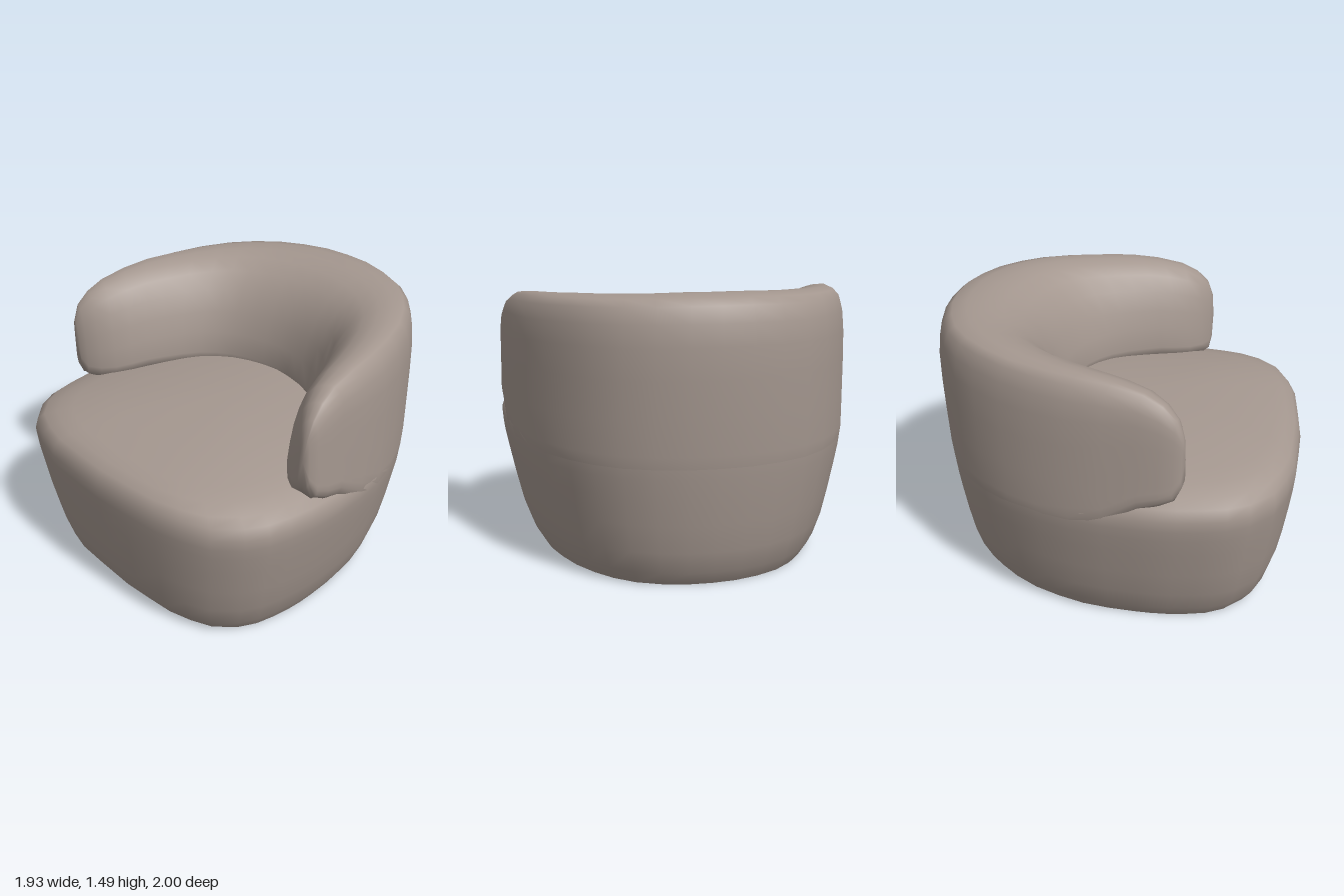
import * as THREE from 'three';
import { mergeVertices } from 'three/addons/utils/BufferGeometryUtils.js';

// Height profile shared by base and backrest: [y, x scale, z scale]
const SIDE = [
  [0, 0.8, 0.835], [0.08, 0.85, 0.89], [0.2, 0.895, 0.925], [0.35, 0.932, 0.953],
  [0.5, 0.965, 0.975], [0.6, 0.986, 0.988], [0.66, 0.994, 0.994], [0.72, 0.999, 0.999],
];
const SEAT_TOP = [
  [0.78, 0.978, 0.987], [0.82, 0.925, 0.96], [0.85, 0.83, 0.91], [0.875, 0.74, 0.84],
  [0.91, 0.52, 0.64], [0.93, 0.25, 0.36], [0.935, 0, 0],
];
const BACK_SIDE = [...SIDE, [0.9, 0.995, 1.01], [1.2, 0.99, 1.025], [1.5, 0.985, 1.02]];
const CENTRE_Z = 0.05;

// Half plan outline from back centre round to front centre
const BACK_PLAN = [
  [0, -0.975], [0.16, -0.965], [0.32, -0.925], [0.47, -0.86], [0.6, -0.76], [0.705, -0.64],
  [0.805, -0.485], [0.875, -0.32], [0.93, -0.145], [0.955, 0.03], [0.965, 0.2], [0.966, 0.3],
];
const FRONT_PLAN = [
  [0.96, 0.4], [0.94, 0.53], [0.91, 0.65], [0.85, 0.76], [0.73, 0.875],
  [0.58, 0.935], [0.42, 0.975], [0.2, 0.99], [0, 1],
];

// Backrest stations: [inner x, inner z, top, outer bottom, inner bottom]
const STATIONS = [
  [0, -0.32, 1.49, 0.5, 0.87], [0.1, -0.31, 1.49, 0.5, 0.87], [0.2, -0.29, 1.485, 0.5, 0.87],
  [0.3, -0.255, 1.48, 0.5, 0.87], [0.38, -0.205, 1.475, 0.5, 0.87], [0.45, -0.14, 1.47, 0.5, 0.87],
  [0.51, -0.05, 1.46, 0.5, 0.87], [0.56, 0.05, 1.45, 0.5, 0.87], [0.6, 0.14, 1.44, 0.54, 0.87],
  [0.64, 0.23, 1.42, 0.64, 0.86], [0.69, 0.31, 1.385, 0.765, 0.85], [0.75, 0.375, 1.335, 0.8, 0.85],
  [0.82, 0.418, 1.27, 0.84, 0.86], [0.87, 0.43, 1.18, 0.92, 0.92],
];
// Cross-section of the backrest: [share of thickness, share of height]
const OUTER = [
  [0.08, 0], [0.025, 0.04], [0, 0.1], [0, 0.16], [0, 0.22], [0, 0.4], [0, 0.6],
  [0.004, 0.76], [0.02, 0.87], [0.06, 0.95], [0.12, 0.985],
];
const INNER = [
  [0.24, 1], [0.38, 0.99], [0.53, 0.955], [0.68, 0.865], [0.81, 0.71], [0.9, 0.52],
  [0.96, 0.32], [1, 0.12], [0.97, 0], [0.6, -0.03], [0.25, -0.08],
];

const { lerp, smoothstep } = THREE.MathUtils;

function scaleAt(y) {
  let i = 0;
  while (i < BACK_SIDE.length - 2 && BACK_SIDE[i + 1][0] < y) i++;
  const [a, b] = [BACK_SIDE[i], BACK_SIDE[i + 1]];
  const t = (y - a[0]) / (b[0] - a[0]);
  return [lerp(a[1], b[1], t), lerp(a[2], b[2], t)];
}

// Smooth skin over a list of closed rings
function skin(rings) {
  const n = rings[0].length;
  const index = [];
  for (let i = 0; i < rings.length - 1; i++) {
    for (let j = 0; j < n; j++) {
      const k = (j + 1) % n;
      const a = i * n + j, b = i * n + k, c = a + n, d = b + n;
      index.push(a, c, b, b, c, d);
    }
  }
  const geo = new THREE.BufferGeometry();
  geo.setAttribute('position', new THREE.Float32BufferAttribute(rings.flat(2), 3));
  geo.setIndex(index);
  const merged = mergeVertices(geo, 1e-4);
  merged.computeVertexNormals();
  return merged;
}

// Base and seat cushion, open underneath
function baseGeometry() {
  const half = [...BACK_PLAN, ...FRONT_PLAN];
  const mirrored = half.slice(1, -1).reverse().map(([x, z]) => [-x, z]);
  const plan = [...half, ...mirrored];
  return skin([...SIDE, ...SEAT_TOP].map(([y, sx, sz]) =>
    plan.map(([x, z]) => [x * sx, y, CENTRE_Z + (z - CENTRE_Z) * sz])));
}

// Backrest that wraps round into both arms
function backrestGeometry() {
  const outerPlan = [...BACK_PLAN, [0.957, 0.37], [0.938, 0.41]];
  const ring = (i, side) => {
    const [ix, iz, top, low, innerLow] = STATIONS[i];
    const [ox, oz] = outerPlan[i];
    // The thinner arms get a relatively larger edge rounding
    const round = lerp(1, 1.7, smoothstep(i, 5, 10));
    const point = (d, y) => {
      const [sx, sz] = scaleAt(y);
      // The lower edge sinks into the base so the two surfaces run flush
      const flush = lerp(0.996, 1.002, smoothstep(y, 0.58, 0.7));
      const x = ox * sx * flush, z = CENTRE_Z + (oz - CENTRE_Z) * sz * flush;
      return [side * lerp(x, ix, d), y, lerp(z, iz, d)];
    };
    return [
      ...OUTER.map(([d, h]) => point(d * round, lerp(low, top, h))),
      ...INNER.map(([d, h]) => point(d, lerp(innerLow, top, h))),
    ];
  };
  const tip = (side) => Array.from({ length: OUTER.length + INNER.length }, () => [side * 0.902, 1.05, 0.432]);
  const rings = [tip(1)];
  for (let i = STATIONS.length - 1; i >= 0; i--) rings.push(ring(i, 1));
  for (let i = 1; i < STATIONS.length; i++) rings.push(ring(i, -1));
  rings.push(tip(-1));
  return skin(rings);
}

export function createModel() {
  const fabric = new THREE.MeshStandardMaterial({ color: 0xa4978f, side: THREE.DoubleSide });
  fabric.name = 'taupe fabric';

  const model = new THREE.Group();
  model.name = 'armchair';
  const parts = { seatBase: baseGeometry(), wraparoundBackrest: backrestGeometry() };
  for (const [name, geometry] of Object.entries(parts)) {
    const mesh = new THREE.Mesh(geometry, fabric);
    mesh.name = name;
    model.add(mesh);
  }
  return model;
}
